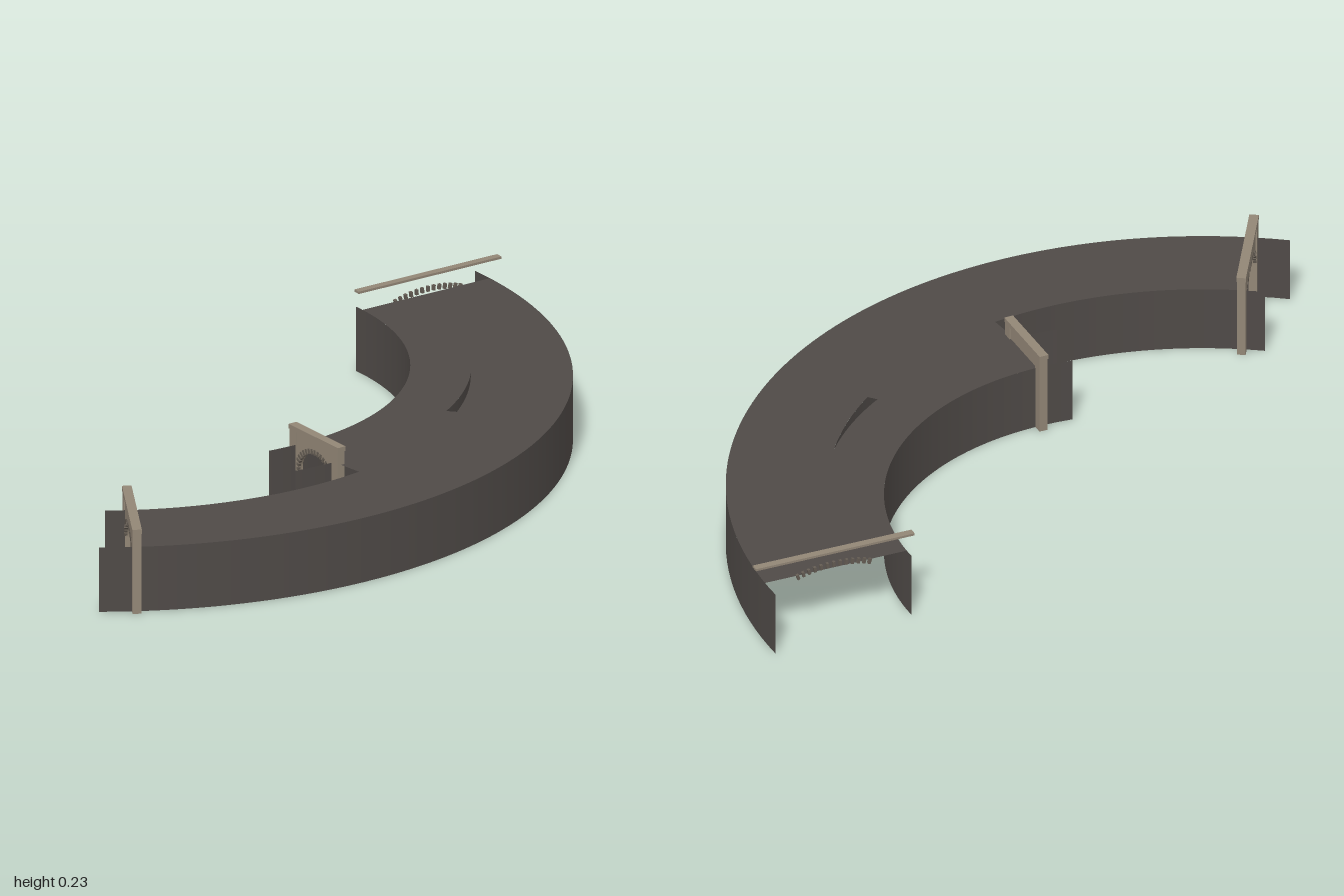
import * as THREE from 'three';

const RAD = Math.PI / 180;
const H = 0.172;                                   // wall and roof height
const MAIN = { x: -0.64, z: 0.21 };                // centre of the main curve
const BRANCH = { x: -0.617, z: 0.08 };             // centre of the tighter branch curve

const concrete = new THREE.MeshStandardMaterial({ color: 0x4f4a47, side: THREE.DoubleSide });
concrete.name = 'dark concrete';
const stone = new THREE.MeshStandardMaterial({ color: 0x928676 });
stone.name = 'beige stone';
const trim = new THREE.MeshStandardMaterial({ color: 0x645c53 });
trim.name = 'dark stone';

function add(parent, name, geometry, material, x = 0, y = 0, z = 0) {
  const mesh = new THREE.Mesh(geometry, material);
  mesh.name = name;
  mesh.position.set(x, y, z);
  parent.add(mesh);
  return mesh;
}

// Points along an arc in plan, angles in degrees from +x towards +z
function arc(c, r, a0, a1, n = 48) {
  return Array.from({ length: n + 1 }, (_, i) => {
    const a = (a0 + (a1 - a0) * i / n) * RAD;
    return new THREE.Vector2(c.x + r * Math.cos(a), -(c.z + r * Math.sin(a)));
  });
}

// Thin curved wall
function wall(parent, name, c, r, a0, a1) {
  const g = new THREE.CylinderGeometry(r, r, H, 64, 1, true, (90 - a1) * RAD, (a1 - a0) * RAD);
  add(parent, name, g, concrete, c.x, H / 2, c.z);
}

// Group whose x axis is radial and z axis runs along the tunnel
function across(parent, name, c, r, angle) {
  const g = new THREE.Group();
  g.name = name;
  const a = angle * RAD;
  g.position.set(c.x + r * Math.cos(a), 0, c.z + r * Math.sin(a));
  g.rotation.y = -a;
  parent.add(g);
  return g;
}

// Arch stones set radially on an ellipse
function archStones(parent, rx, ry, y0, n, from, to, z) {
  for (let i = 0; i < n; i++) {
    const t = (from + (to - from) * i / (n - 1)) * RAD;
    const s = add(parent, 'archStone', new THREE.BoxGeometry(0.014, 0.007, 0.008), trim,
      rx * Math.cos(t), y0 + ry * Math.sin(t), z);
    s.rotation.z = Math.atan2(Math.sin(t) / ry, Math.cos(t) / rx);
  }
}

// Portal face with an arched opening, pillars, coping and arch stones
function portal(parent, name, c, r, angle, width, height) {
  const g = across(parent, name, c, r, angle);
  const w = width / 2, o = w - 0.028, spring = 0.1, rise = 0.07;
  const s = new THREE.Shape();
  s.moveTo(-w, 0);
  s.lineTo(-o, 0);
  s.lineTo(-o, spring);
  s.absellipse(0, spring, o, rise, Math.PI, 0, true);
  s.lineTo(o, 0);
  s.lineTo(w, 0);
  s.lineTo(w, height - 0.01);
  s.lineTo(-w, height - 0.01);
  s.closePath();
  const face = new THREE.ExtrudeGeometry(s, { depth: 0.014, bevelEnabled: false, curveSegments: 24 });
  add(g, 'portalFace', face, stone, 0, 0, -0.007);
  for (const side of [-1, 1]) {
    add(g, 'pillar', new THREE.BoxGeometry(0.026, height - 0.01, 0.022), stone,
      side * (w - 0.013), (height - 0.01) / 2, 0);
  }
  add(g, 'coping', new THREE.BoxGeometry(width + 0.006, 0.012, 0.024), stone, 0, height - 0.006, 0);
  archStones(g, o + 0.004, rise + 0.004, spring, 19, 8, 172, 0.005);
}

export function createModel() {
  const model = new THREE.Group();
  model.name = 'curvedTunnel';

  // Flat roof covering both tunnels, with a slit where they part
  const roof = new THREE.Shape([
    ...arc(MAIN, 1.19, -82.3, 37.4, 80),
    ...arc(MAIN, 0.935, 37.4, -2.5),
    ...arc(BRANCH, 0.825, 6.3, 6.3, 1).slice(1),
    ...arc(BRANCH, 0.672, 6.3, -82.6, 64),
  ]);
  roof.holes.push(new THREE.Path([
    ...arc(MAIN, 0.935, -52.2, -32.3, 20),
    ...arc(BRANCH, 0.825, -25.4, -47.6, 20),
  ]));
  add(model, 'roof', new THREE.ShapeGeometry(roof).rotateX(-Math.PI / 2), concrete, 0, H, 0);

  // Walls run a little past the portals
  wall(model, 'outerWall', MAIN, 1.19, -85.3, 41.7);
  wall(model, 'mainInnerWall', MAIN, 0.935, -52.2, 40.7);
  wall(model, 'branchInnerWall', BRANCH, 0.672, -84.9, 13.7);
  wall(model, 'branchOuterWall', BRANCH, 0.825, -47.9, 14.2);

  // Portals at the front and at the branch
  portal(model, 'frontPortal', MAIN, 1.058, 37.2, 0.3, 0.226);
  portal(model, 'branchPortal', BRANCH, 0.749, 6.1, 0.203, 0.22);

  // Open rear end: only the coping and the crown of the arch
  const rear = across(model, 'rearEnd', MAIN, 1.004, -82.4);
  add(rear, 'rearCoping', new THREE.BoxGeometry(0.432, 0.006, 0.02), stone, 0, 0.223, 0);
  archStones(rear, 0.17, 0.08, 0.104, 13, 55, 125, 0);

  return model;
}
